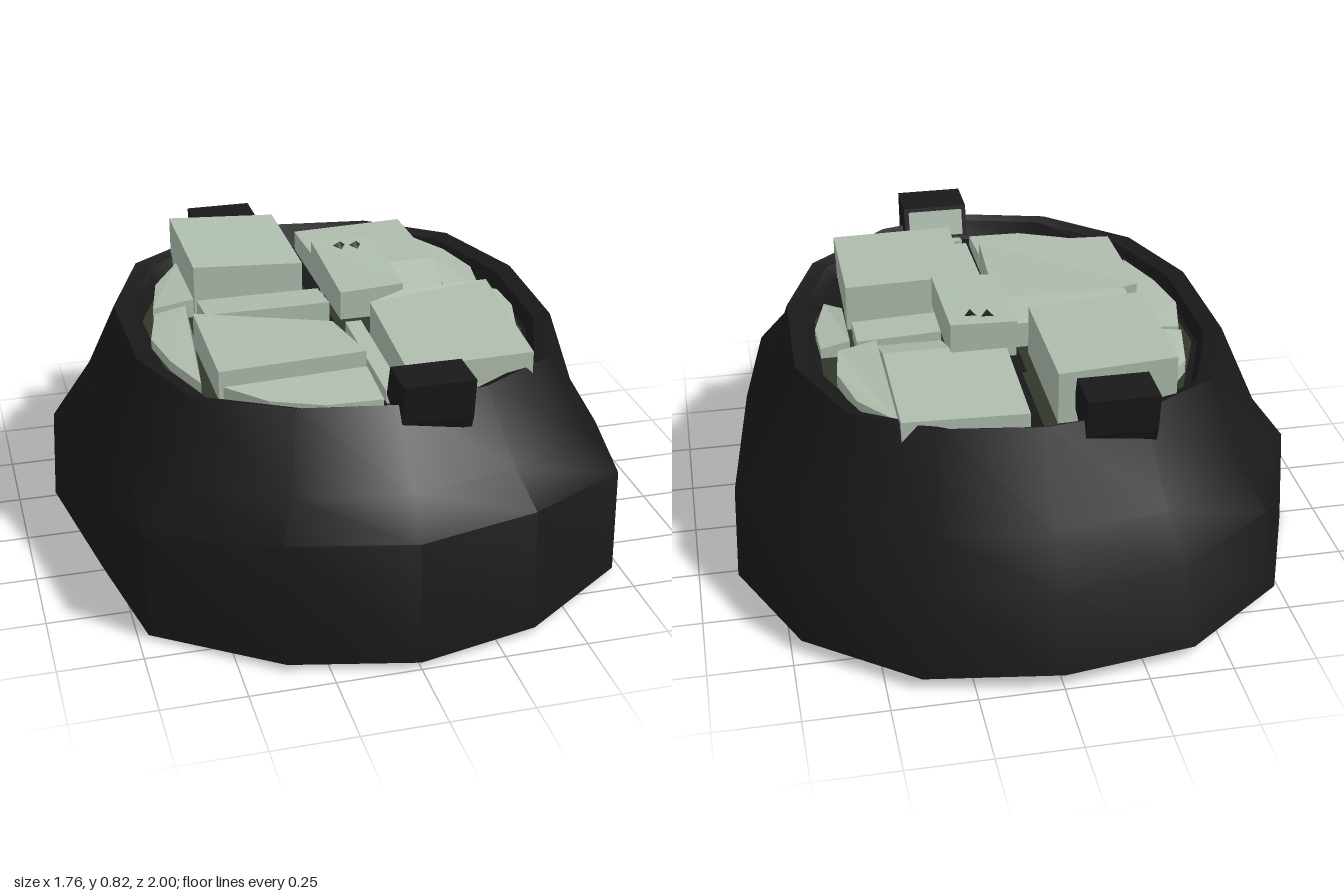
import * as THREE from 'three';
import { toCreasedNormals } from 'three/addons/utils/BufferGeometryUtils.js';

const shellMat = new THREE.MeshStandardMaterial({ name: 'black shell', color: 0x191919 });
const stoneMat = new THREE.MeshStandardMaterial({ name: 'pale stone', color: 0xafbdad });
const fillMat = new THREE.MeshStandardMaterial({ name: 'dark olive', color: 0x31372a, side: THREE.DoubleSide });

// Half rings [x, y, z], running from the back to the front on the +x side
const bottom = [[0, .06, -1], [.4, .05, -.93], [.72, .05, -.69], [.88, .01, -.27], [.8, .04, .28], [.72, .02, .65], [.37, .03, .91], [0, .03, .995]];
const middle = [[0, .3, -.93], [.38, .3, -.87], [.69, .3, -.65], [.868, .31, -.25], [.795, .33, .28], [.72, .35, .64], [.37, .4, .88], [0, .4, .965]];
const top = [[0, .71, -.71], [.29, .71, -.67], [.54, .7, -.51], [.66, .69, -.2], [.65, .69, .2], [.54, .69, .49], [.28, .71, .67], [0, .715, .73]];

// Shoulder between middle and top, drawn in slightly at the sides
const shoulder = middle.map((p, i) => p.map((v, k) => (v + (top[i][k] - v) * .35) * (k === 0 ? .965 : 1)));

// Mirrors a half ring into a closed loop
const fullRing = half => [...half, ...half.slice(1, -1).reverse().map(([x, y, z]) => [-x, y, z])];
const scaleRing = (half, sx, sz, y) => half.map(p => [p[0] * sx, y, p[2] * sz]);

function loft(rings) {
  const n = rings[0].length, index = [];
  for (let r = 0; r < rings.length - 1; r++) {
    for (let i = 0; i < n; i++) {
      const j = (i + 1) % n;
      const a = r * n + i, b = r * n + j, c = b + n, d = a + n;
      index.push(a, c, b, a, d, c);
    }
  }
  const g = new THREE.BufferGeometry();
  g.setAttribute('position', new THREE.Float32BufferAttribute(rings.flat(2), 3));
  g.setIndex(index);
  return toCreasedNormals(g, 0.65);
}

// Flat plate filling a ring
function disc(half) {
  const ring = fullRing(half);
  const g = new THREE.ShapeGeometry(new THREE.Shape(ring.map(p => new THREE.Vector2(p[0], -p[2]))));
  return g.rotateX(-Math.PI / 2).translate(0, half[0][1], 0);
}

// Block with a top corner list [x, z, y]; the top is a fan from the first corner
function block(corners, base) {
  let area = 0;
  corners.forEach((p, i) => {
    const q = corners[(i + 1) % corners.length];
    area += p[0] * q[1] - q[0] * p[1];
  });
  const pts = area > 0 ? [corners[0], ...corners.slice(1).reverse()] : corners;
  const n = pts.length, pos = [];
  const up = i => [pts[i % n][0], pts[i % n][2], pts[i % n][1]];
  const low = i => [pts[i % n][0], base, pts[i % n][1]];
  for (let i = 0; i < n; i++) {
    pos.push(low(i), low(i + 1), up(i + 1), low(i), up(i + 1), up(i));
    if (i > 0 && i < n - 1) pos.push(up(0), up(i), up(i + 1), low(0), low(i + 1), low(i));
  }
  const g = new THREE.BufferGeometry();
  g.setAttribute('position', new THREE.Float32BufferAttribute(pos.flat(), 3));
  g.computeVertexNormals();
  return g;
}

// Four-cornered top: heights at back left, back right, front right, front left of the plan
const quad = (x0, x1, z0, z1, h) => [[x0, z0, h[0]], [x1, z0, h[1]], [x1, z1, h[2]], [x0, z1, h[3]]];

export function createModel() {
  const group = new THREE.Group();
  const add = (name, geometry, material) => {
    const mesh = new THREE.Mesh(geometry, material);
    mesh.name = name;
    group.add(mesh);
    return mesh;
  };

  // Flared shell: underside, wall, rim, inner lip and a ledge around the bed
  const under = scaleRing(bottom, .66, .66, .125);
  const lip = top.map(([x, y, z]) => [x * .92, y - .012, z * .97]);
  const inner = scaleRing(top, .89, .94, .64);
  const ledge = scaleRing(top, .87, .88, .638);
  add('shell', loft([under, bottom, middle, shoulder, top, lip, inner, ledge].map(fullRing)), shellMat);

  // Olive plates closing the underside and the bed below the stones
  add('undersidePlate', disc(under), fillMat);
  add('stoneBed', disc(ledge), fillMat);

  // Black patches in the gaps of the bed
  const patches = {
    backGap: quad(-.015, .03, -.63, -.27, [.645, .645, .645, .645]),
    middleGap: quad(-.03, .01, -.27, .62, [.645, .645, .645, .645]),
    frontGap: [[.46, .22, .645], [.55, .25, .645], [.48, .44, .645], [.3, .58, .645], [.19, .62, .645], [.2, .56, .645], [.46, .56, .645]]
  };
  for (const [name, corners] of Object.entries(patches)) add(name, block(corners, .639), shellMat);

  // Stones packed in the opening
  const stones = {
    backRightStone: quad(-.41, -.06, -.58, -.15, [.82, .8, .795, .815]),
    backLeftStone: quad(.03, .4, -.63, -.24, [.71, .72, .73, .73]),
    slopedStone: quad(.2, .4, -.24, -.08, [.73, .73, .67, .67]),
    middleLeftStone: quad(.2, .46, -.08, .05, [.7, .69, .69, .7]),
    frontLeftStone: [[.08, .15, .77], [.2, .11, .785], [.47, .1, .785], [.46, .56, .745], [.07, .57, .745]],
    foldedStone: quad(-.45, -.01, .04, .43, [.745, .67, .745, .73]),
    middleRightStone: quad(-.41, -.02, -.11, .04, [.72, .72, .735, .735]),
    frontRightStone: [[-.01, .44, .7], [-.01, .62, .68], [-.18, .615, .68], [-.33, .55, .68], [-.44, .45, .69]],
    rightEdgeStone: [[-.44, -.15, .69], [-.54, -.14, .675], [-.58, .03, .67], [-.55, .2, .67], [-.49, .37, .67], [-.46, .1, .69]],
    backRightEdgeStone: [[-.41, -.48, .7], [-.5, -.36, .68], [-.54, -.17, .68], [-.41, -.17, .7]],
    leftEdgeStone: [[.48, -.07, .69], [.57, -.07, .67], [.575, .06, .67], [.53, .23, .67], [.48, .15, .69]],
    backLeftEdgeStone: [[.4, -.57, .69], [.5, -.42, .68], [.54, -.25, .68], [.52, -.09, .67], [.4, -.08, .69]],
    narrowStone: quad(.01, .06, .12, .57, [.7, .7, .68, .68]),
    frontChip: quad(.02, .18, .59, .64, [.68, .68, .67, .67])
  };
  for (const [name, corners] of Object.entries(stones)) add(name, block(corners, .6), stoneMat);
  add('centreStone', block(quad(0, .2, -.27, .1, [.815, .82, .8, .79]), .7), stoneMat);

  // Small dark chips on the centre stone
  for (const [x, z] of [[.08, -.21], [.13, -.2]]) {
    const chip = add('stoneChip', new THREE.ConeGeometry(.025, .02, 3), shellMat);
    chip.position.set(x, .822, z);
  }

  // Clips over the rim: a side profile [z, y] extruded across x
  const clipShape = new THREE.Shape([[.61, .69], [.75, .63], [.765, .67], [.78, .79], [.64, .79]]
    .map(([z, y]) => new THREE.Vector2(z, y)));
  const clipGeometry = new THREE.ExtrudeGeometry(clipShape, { depth: .21, bevelEnabled: false })
    .translate(0, 0, -.105).rotateY(-Math.PI / 2);
  const frontClip = add('frontClip', clipGeometry, shellMat);
  frontClip.position.x = .105;
  const backClip = add('backClip', clipGeometry, shellMat);
  backClip.rotation.y = Math.PI;
  backClip.position.set(-.215, 0, .045);

  // Pale plate on the inner face of the front clip
  const clipPlate = add('clipPlate', new THREE.BoxGeometry(.18, .085, .008), stoneMat);
  clipPlate.position.set(.105, .738, .622);
  clipPlate.rotation.x = .29;
  return group;
}
